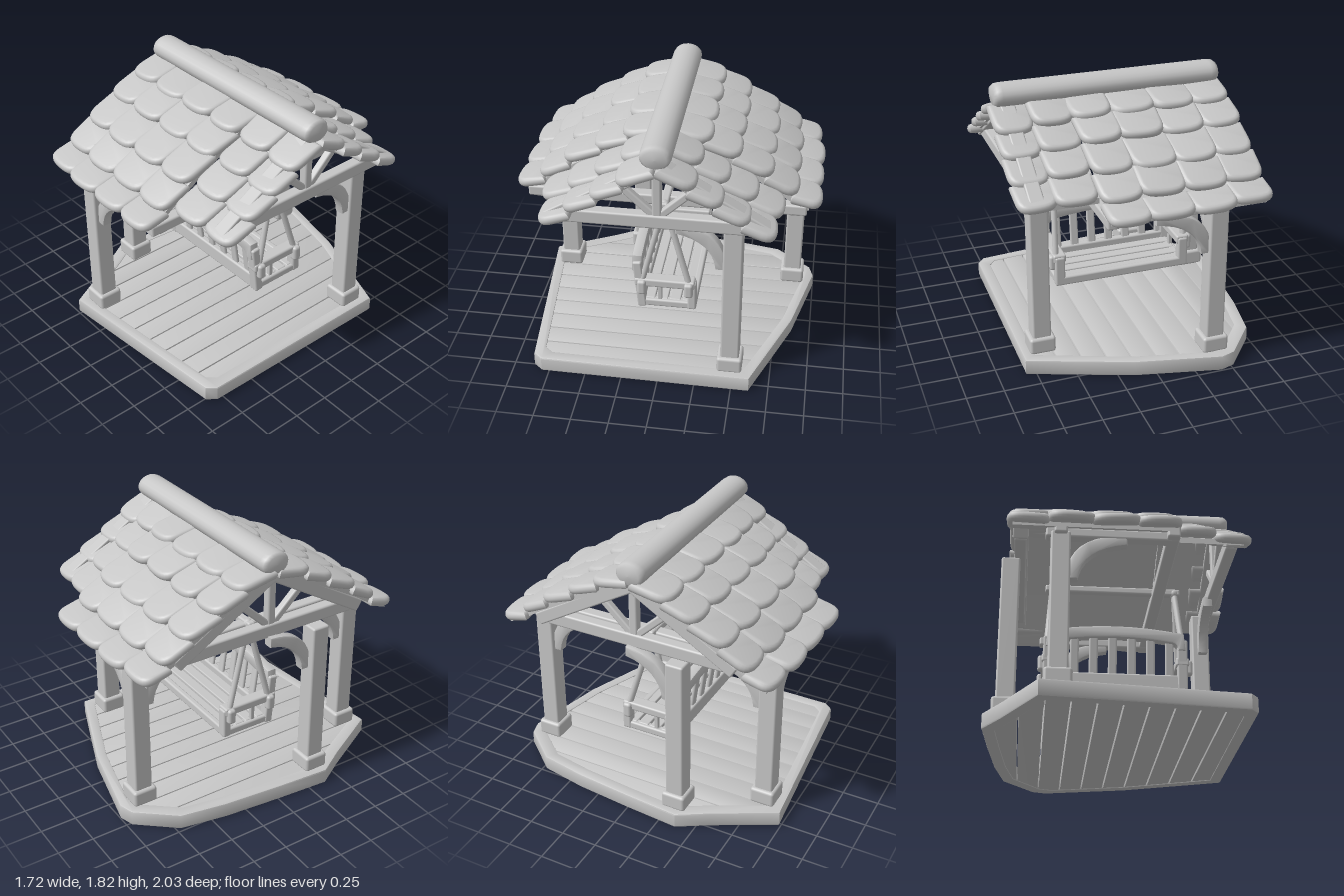
import * as THREE from 'three';
import { toCreasedNormals } from 'three/addons/utils/BufferGeometryUtils.js';
import { RoundedBoxGeometry } from 'three/addons/geometries/RoundedBoxGeometry.js';

const grey = new THREE.MeshStandardMaterial({ color: 0xc6c6c6 });
grey.name = 'light grey';

let seed = 7;
const jitter = (a) => {
  seed = (seed * 16807) % 2147483647;
  return (seed / 2147483647 - 0.5) * 2 * a;
};

function add(parent, name, geo, x = 0, y = 0, z = 0) {
  const m = new THREE.Mesh(geo, grey);
  m.name = name;
  m.position.set(x, y, z);
  parent.add(m);
  return m;
}

// Softened box given by its limits
function box(parent, name, x0, x1, y0, y1, z0, z1, r = 0.014) {
  const geo = new RoundedBoxGeometry(x1 - x0, y1 - y0, z1 - z0, 2, r);
  return add(parent, name, geo, (x0 + x1) / 2, (y0 + y1) / 2, (z0 + z1) / 2);
}

// Square timber from a to b
function timber(parent, name, a, b, w, h) {
  const p = new THREE.Vector3(...a), q = new THREE.Vector3(...b);
  const m = add(parent, name, new RoundedBoxGeometry(w, h, p.distanceTo(q), 2, 0.012));
  m.position.copy(p).add(q).multiplyScalar(0.5);
  m.lookAt(q);
  return m;
}

const shapeOf = (pts) => new THREE.Shape(pts.map(([x, y]) => new THREE.Vector2(x, y)));

function extrude(shape, depth, bevel = 0, segments = 2) {
  const geo = new THREE.ExtrudeGeometry(shape, {
    depth: depth - 2 * bevel, bevelEnabled: bevel > 0, bevelSize: bevel, bevelThickness: bevel,
    bevelOffset: -bevel, bevelSegments: segments, curveSegments: 8,
  });
  geo.translate(0, 0, bevel);
  return toCreasedNormals(geo, 0.7);
}

// Floor outline as x, z
const outline = [[-0.52, 0.99], [0.76, 0.86], [0.81, 0.8], [0.82, -0.62], [0.5, -0.74], [0.15, -0.87], [-0.42, -1.0],
  [-0.52, -0.97], [-0.73, -0.72], [-0.79, -0.4], [-0.83, 0], [-0.86, 0.38], [-0.74, 0.58]];

function zRange(x) {
  const zs = [];
  outline.forEach(([ax, az], i) => {
    const [bx, bz] = outline[(i + 1) % outline.length];
    if ((ax <= x) !== (bx <= x)) zs.push(az + ((x - ax) / (bx - ax)) * (bz - az));
  });
  return [Math.min(...zs), Math.max(...zs)];
}

function buildFloor(g) {
  const flat = outline.map(([x, z]) => [x, -z]);
  const rim = shapeOf(flat);
  rim.holes.push(shapeOf(flat.map(([x, y]) => [x * 0.9, y * 0.92])));
  add(g, 'floorRim', extrude(rim, 0.11, 0.012)).rotation.x = -Math.PI / 2;
  // Planks run front to back, clipped to the outline
  const n = 10, w = 1.56 / n;
  for (let i = 0; i < n; i++) {
    const x0 = -0.79 + i * w + 0.004, x1 = x0 + w - 0.008;
    const [a0, b0] = zRange(x0), [a1, b1] = zRange(x1), k = 0.04;
    const plank = shapeOf([[x0, -b0 + k], [x1, -b1 + k], [x1, -a1 - k], [x0, -a0 - k]]);
    add(g, 'floorPlank', extrude(plank, 0.095, 0.005), 0, 0.008, 0).rotation.x = -Math.PI / 2;
  }
}

// Curved corner brace; angle turns it from +x about the vertical
function brace(g, x, z, angle, len = 0.32, y = 0.83) {
  const s = new THREE.Shape();
  s.moveTo(0, 0);
  s.lineTo(0.06, 0);
  s.quadraticCurveTo(0.08, 0.21, len, 0.25);
  s.lineTo(len, 0.32);
  s.quadraticCurveTo(0.05, 0.31, 0, 0.1);
  const geo = extrude(s, 0.07, 0.01);
  geo.translate(0.05, 0, -0.035);
  add(g, 'brace', geo, x, y, z).rotation.y = angle;
}

function buildFrame(g) {
  const posts = [[-0.405, 0.84, 1.15], [-0.72, 0.335, 1.22], [-0.405, -0.84, 1.15], [0.68, -0.48, 1.23]];
  for (const [x, z, top] of posts) {
    box(g, 'post', x - 0.063, x + 0.063, 0.1, top, z - 0.063, z + 0.063);
    box(g, 'postBase', x - 0.088, x + 0.088, 0.1, 0.215, z - 0.085, z + 0.085, 0.02);
  }
  const H = Math.PI / 2;
  brace(g, -0.405, 0.84, 0, 0.37);
  brace(g, -0.405, 0.84, H);
  brace(g, -0.405, -0.84, 0, 0.37);
  brace(g, -0.405, -0.84, -H);
  brace(g, -0.7, 0.335, H, 0.32, 0.91);
  brace(g, 0.69, -0.48, -H, 0.32, 0.91);
  // Top ring of beams
  for (const x of [-0.405, 0.31]) box(g, 'sideBeam', x - 0.042, x + 0.042, 1.125, 1.2, -0.92, 0.93);
  for (const z of [-0.84, 0.84]) box(g, 'crossBeam', -0.5, 0.35, 1.12, 1.185, z - 0.04, z + 0.04);
  box(g, 'swingBar', -0.48, 0.47, 1.165, 1.215, -0.028, 0.028);
}

// Gable truss
function truss(g, x) {
  box(g, 'tieBeam', x - 0.04, x + 0.04, 1.215, 1.31, -0.64, 0.64);
  box(g, 'kingPost', x - 0.03, x + 0.03, 1.29, 1.62, -0.03, 0.03);
  for (const s of [-1, 1]) {
    timber(g, 'rafter', [x, 1.66, 0], [x, 1.235, s * 0.71], 0.1, 0.09);
    timber(g, 'strut', [x, 1.3, s * 0.02], [x, 1.49, s * 0.22], 0.05, 0.05);
  }
}

// Rounded shingle, hanging down from its top edge
function shingleGeometry(w, l) {
  const s = new THREE.Shape(), h = w / 2;
  s.moveTo(-h, 0);
  s.lineTo(-h, -l * 0.55);
  s.bezierCurveTo(-h, -l * 0.92, -h * 0.65, -l, 0, -l);
  s.bezierCurveTo(h * 0.65, -l, h, -l * 0.92, h, -l * 0.55);
  s.lineTo(h, 0);
  return extrude(s, 0.065, 0.028, 3);
}

function buildRoof(g) {
  const longRows = [[0.05, 1.735], [0.28, 1.65], [0.47, 1.545], [0.68, 1.425], [0.85, 1.3], [1.0, 1.225]];
  const endRows = longRows.map(([z, y]) => [z * 0.97, y]);
  const shortRows = [0.05, 0.25, 0.42, 0.6, 0.77].map((z) => [z, 1.765 - 0.62 * z]);
  const lowRows = shortRows.map(([z, y]) => [z * 0.96, y - 0.03]);
  const columns = [endRows, longRows, longRows, longRows, shortRows, lowRows];
  const edges = [-0.735, -0.48, -0.2, 0.09, 0.35, 0.61, 0.85];
  for (const side of [1, -1]) {
    const slope = new THREE.Group();
    slope.name = side > 0 ? 'frontShingles' : 'backShingles';
    if (side < 0) slope.rotation.y = Math.PI;
    g.add(slope);
    columns.forEach((rows, c) => {
      for (let r = 0; r + 1 < rows.length; r++) {
        // The top edge tucks under the row above
        const z0 = rows[r][0] - 0.018, y0 = rows[r][1] - 0.035;
        const [z1, y1] = rows[r + 1];
        const dz = z1 - z0, dy = y0 - y1, len = Math.hypot(dz, dy);
        const m = add(slope, 'shingle', shingleGeometry(edges[c + 1] - edges[c] + 0.025, len + 0.04));
        m.rotation.set(Math.atan2(-dz, dy), jitter(0.05), jitter(0.04));
        const uz = dz / len, uy = dy / len;
        m.position.set(side * (edges[c] + edges[c + 1]) / 2, y0 + 0.04 * uy - 0.06 * uz + jitter(0.006),
          z0 - 0.04 * uz - 0.06 * uy + 0.02);
      }
    });
  }
  // Decking under the shingles
  const deck = (name, half, x0, x1) => {
    const mirror = half.map(([z, y]) => [-z, y]).reverse().slice(0, -1);
    const upper = [...mirror, ...half];
    const lower = upper.map(([z, y]) => [z, y - 0.04]).reverse();
    add(g, name, extrude(shapeOf([...lower, ...upper]), x1 - x0), x1, 0, 0).rotation.y = -Math.PI / 2;
  };
  deck('longDeck', [[0, 1.69], [0.28, 1.57], [0.47, 1.465], [0.68, 1.345], [0.85, 1.23], [0.93, 1.2]], -0.71, 0.33);
  deck('shortDeck', [[0, 1.68], [0.7, 1.25]], 0.33, 0.8);
  truss(g, -0.66);
  truss(g, 0.73);
  // Ridge log
  const profile = [[0, -0.782], [0.075, -0.778], [0.096, -0.755], [0.1, -0.72], [0.1, 0.72], [0.096, 0.755], [0.075, 0.778], [0, 0.782]];
  const ridge = add(g, 'ridgeLog', new THREE.LatheGeometry(profile.map(([x, y]) => new THREE.Vector2(x, y)), 20), 0.045, 1.74, 0);
  ridge.rotation.z = -Math.PI / 2;
  ridge.scale.x = 0.78;
}

function buildSwing(g) {
  const bench = new THREE.Group();
  bench.name = 'swingBench';
  g.add(bench);
  // Seat
  box(bench, 'backApron', -0.47, 0.47, 0.385, 0.495, 0.13, 0.18);
  box(bench, 'frontApron', -0.47, 0.47, 0.385, 0.45, -0.22, -0.175);
  for (let i = 0; i < 4; i++) {
    const z = -0.2 + i * 0.088;
    box(bench, 'seatSlat', -0.46, 0.46, 0.415, 0.445, z, z + 0.076, 0.008);
  }
  // Leaning backrest with arched top rail
  for (let i = 0; i < 7; i++) {
    const x = -0.405 + i * 0.128;
    timber(bench, 'backSlat', [x, 0.47, 0.15], [x, 0.76, 0.19], 0.06, 0.025);
  }
  const rail = new THREE.Shape();
  rail.moveTo(-0.47, 0.66);
  rail.lineTo(-0.42, 0.66);
  rail.quadraticCurveTo(-0.42, 0.7, -0.38, 0.71);
  rail.quadraticCurveTo(0, 0.77, 0.38, 0.71);
  rail.quadraticCurveTo(0.42, 0.7, 0.42, 0.66);
  rail.lineTo(0.47, 0.66);
  rail.lineTo(0.46, 0.78);
  rail.quadraticCurveTo(0, 0.865, -0.46, 0.78);
  add(bench, 'topRail', extrude(rail, 0.07, 0.012), 0, 0, 0.15);
  // Ends, arms and ropes
  for (const s of [-1, 1]) {
    const x = s * 0.45;
    timber(bench, 'backPost', [x, 0.38, 0.15], [x, 0.74, 0.185], 0.07, 0.06);
    box(bench, 'frontPost', x - 0.035, x + 0.035, 0.385, 0.6, -0.22, -0.16);
    box(bench, 'endRail', x - 0.03, x + 0.03, 0.385, 0.44, -0.2, 0.17);
    box(bench, 'endSpindle', x - 0.015, x + 0.015, 0.42, 0.57, 0.015, 0.045, 0.006);
    box(bench, 'armRest', x - 0.045, x + 0.045, 0.555, 0.615, -0.21, 0.2);
    for (const z of [-0.17, 0.15]) {
      box(bench, 'ropeMount', s * 0.49 - 0.03, s * 0.49 + 0.03, 0.5, 0.61, z - 0.03, z + 0.03, 0.02);
      const path = new THREE.LineCurve3(new THREE.Vector3(s * 0.43, 1.19, 0), new THREE.Vector3(s * 0.47, 0.59, z));
      add(bench, 'rope', new THREE.TubeGeometry(path, 4, 0.021, 10));
    }
    add(bench, 'ropeKnot', new THREE.SphereGeometry(0.036, 12, 8), s * 0.43, 1.185, 0);
  }
}

export function createModel() {
  const model = new THREE.Group();
  model.name = 'gardenSwingPavilion';
  for (const [name, build] of [['floor', buildFloor], ['frame', buildFrame], ['roof', buildRoof], ['swing', buildSwing]]) {
    const part = new THREE.Group();
    part.name = name;
    build(part);
    model.add(part);
  }
  return model;
}
